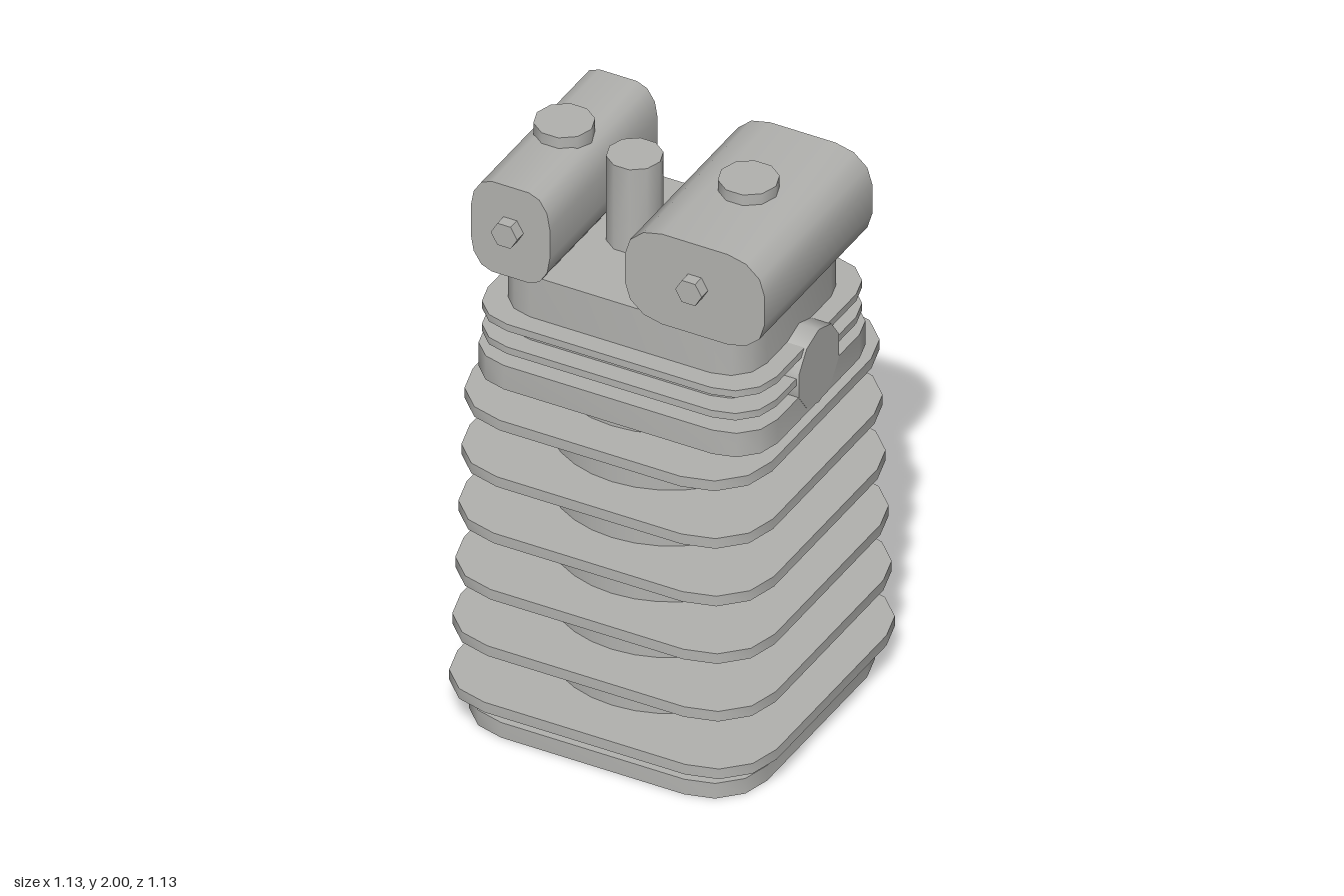
import * as THREE from 'three';
import { toCreasedNormals } from 'three/addons/utils/BufferGeometryUtils.js';

const metal = new THREE.MeshStandardMaterial({ color: 0xb2b2af });
metal.name = 'cast metal grey';

// Rectangle of half sizes a, b with corners rx, ry, each cut into three facets
function roundedRect(a, b, rx, ry) {
  const points = [];
  for (let q = 0; q < 4; q++) {
    const sx = q === 0 || q === 3 ? 1 : -1;
    const sy = q < 2 ? 1 : -1;
    for (let i = 0; i <= 3; i++) {
      const t = (q + i / 3) * Math.PI / 2;
      points.push(new THREE.Vector2(sx * (a - rx) + rx * Math.cos(t), sy * (b - ry) + ry * Math.sin(t)));
    }
  }
  return new THREE.Shape(points);
}

function extrude(shape, depth) {
  return toCreasedNormals(new THREE.ExtrudeGeometry(shape, { depth, bevelEnabled: false }), 0.7);
}

export function createModel() {
  const model = new THREE.Group();
  model.name = 'finnedEngineCylinder';

  function add(name, geometry, x = 0, y = 0, z = 0) {
    const mesh = new THREE.Mesh(geometry, metal);
    mesh.name = name;
    mesh.position.set(x, y, z);
    model.add(mesh);
    return mesh;
  }

  // Horizontal rounded slab from y0 to y1
  function slab(name, hx, hz, r, y0, y1) {
    add(name, extrude(roundedRect(hx, hz, r, r), y1 - y0).rotateX(-Math.PI / 2), 0, y0, 0);
  }

  // Upright ten-sided post with a corner pointing along x
  function post(name, r, x, y0, y1) {
    const g = new THREE.CylinderGeometry(r, r, y1 - y0, 10).rotateY(Math.PI / 2);
    add(name, toCreasedNormals(g, 0.7), x, (y0 + y1) / 2, 0);
  }

  // Barrel with base flange and tapering stack of fins
  slab('baseFlange', 0.515, 0.515, 0.19, 0, 0.057);
  add('barrel', new THREE.CylinderGeometry(0.39, 0.39, 1.2, 32), 0, 0.63, 0);
  for (let i = 0; i < 6; i++) {
    const y = 0.135 + i * 0.211;
    const h = 0.566 - i * 0.007;
    slab('barrelFin' + (i + 1), h, h, 0.21, y - 0.019, y + 0.019);
  }

  // Cylinder head
  slab('headFlange', 0.52, 0.415, 0.15, 1.24, 1.33);
  slab('headBlock', 0.45, 0.338, 0.13, 1.26, 1.64);
  slab('headFinLower', 0.512, 0.408, 0.15, 1.372, 1.398);
  slab('headFinUpper', 0.512, 0.408, 0.15, 1.458, 1.484);

  // Ports on the two sides of the head
  const port = (name, r, x, y) => {
    const g = new THREE.CylinderGeometry(r, r, 0.14, 10).rotateY(Math.PI / 2).rotateZ(Math.PI / 2);
    add(name, toCreasedNormals(g, 0.7), x, y, 0);
  };
  port('leftPort', 0.137, 0.451, 1.372);
  port('rightPort', 0.122, -0.453, 1.423);

  // Rocker covers with filler caps and end bolts
  for (const [side, x, hx] of [['left', 0.272, 0.247], ['right', -0.382, 0.14]]) {
    add(side + 'RockerCover', extrude(roundedRect(hx, 0.17, hx * 0.53, 0.115), 0.7), x, 1.79, -0.35);
    post(side + 'CoverCap', 0.097, x, 1.92, 2.0);
    for (const end of [1, -1]) {
      const bolt = new THREE.CylinderGeometry(0.047, 0.047, 0.06, 6).rotateY(Math.PI / 2).rotateX(Math.PI / 2);
      add(side + (end > 0 ? 'FrontBolt' : 'BackBolt'), toCreasedNormals(bolt, 0.7), x, 1.8, end * 0.361);
    }
  }

  // Upright plug between the covers
  post('centrePost', 0.09, -0.132, 1.6, 1.957);

  return model;
}
